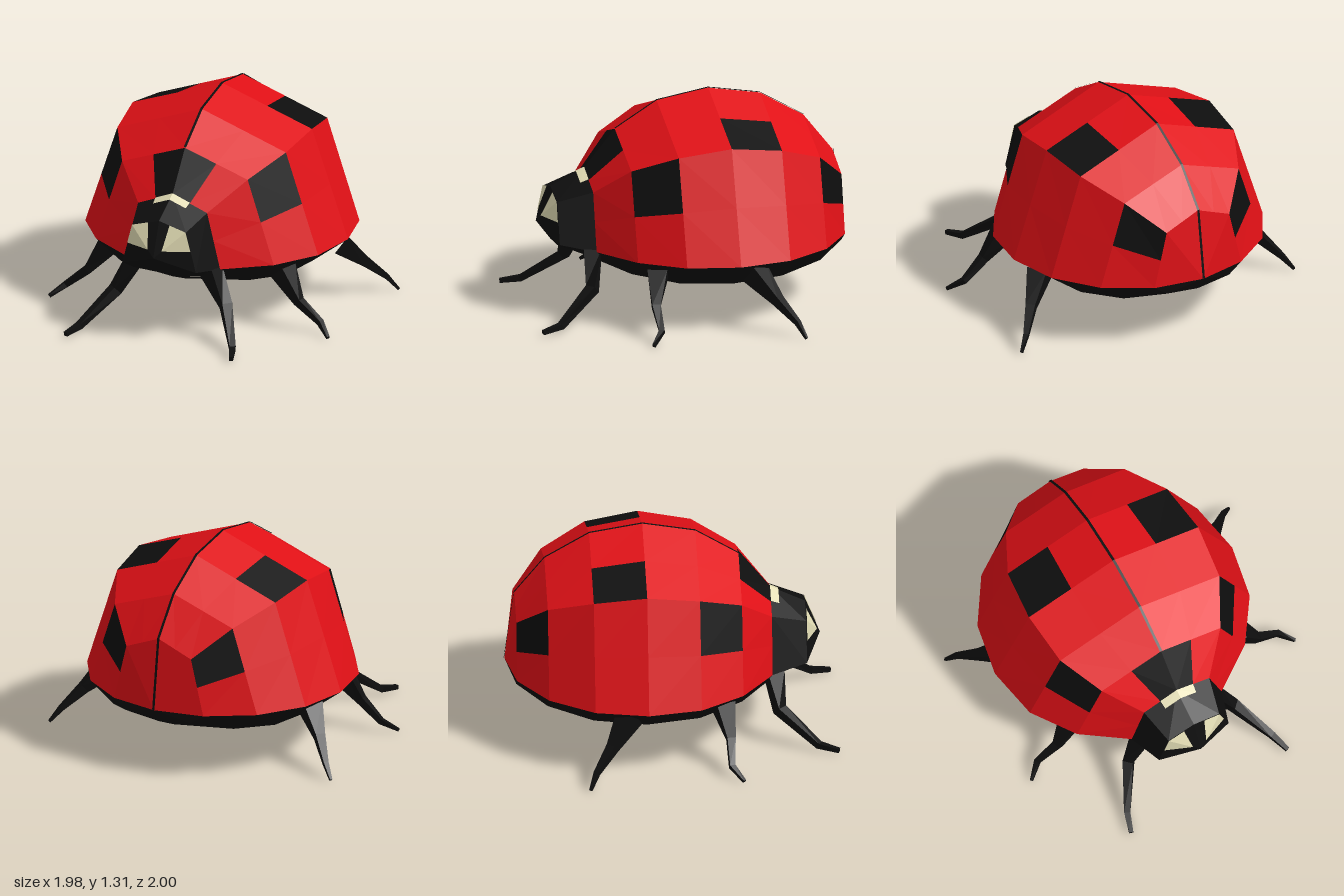
import * as THREE from 'three';

const RED = 0xe01016, BLACK = 0x0e0e0e, CREAM = 0xe2dcb4;
const V = (x, y, z) => new THREE.Vector3(x, y, z);
const CENTRE = V(0, 0.6, -0.1);

// Body stations, front to back: z, ridge y, shoulder x, shoulder y, rim x, belly y
const STATIONS = [
  [0.60, 0.87, 0.225, 0.78, 0.31, 0.34],
  [0.41, 1.10, 0.41, 0.955, 0.58, 0.26],
  [0.15, 1.26, 0.55, 1.06, 0.76, 0.205],
  [-0.17, 1.315, 0.585, 1.105, 0.82, 0.185],
  [-0.49, 1.26, 0.55, 1.06, 0.76, 0.205],
  [-0.76, 1.10, 0.41, 0.955, 0.58, 0.26],
  [-0.94, 0.87, 0.225, 0.78, 0.31, 0.34],
  [-1.00, 0.43, 0, 0.43, 0, 0.43],
];
const RIM = 0.43;
// Spots cover whole panels: "station,strip"
const SPOTS = ['0,0', '1,2', '3,1', '5,2'];

function makeMesh(name, points, color, doubleSide = false) {
  const geometry = new THREE.BufferGeometry().setFromPoints(points);
  geometry.computeVertexNormals();
  const material = new THREE.MeshStandardMaterial({ color, flatShading: true });
  if (doubleSide) material.side = THREE.DoubleSide;
  const mesh = new THREE.Mesh(geometry, material);
  mesh.name = name;
  return mesh;
}

// Adds a triangle facing away from the body centre
function addTri(out, a, b, c) {
  const n = b.clone().sub(a).cross(c.clone().sub(a));
  if (n.length() < 1e-7) return;
  const mid = a.clone().add(b).add(c).divideScalar(3).sub(CENTRE);
  out.push(...(n.dot(mid) > 0 ? [a, b, c] : [a, c, b]));
}
function addQuad(out, a, b, c, d) {
  addTri(out, a, b, c);
  addTri(out, a, c, d);
}
function addLoft(out, p, q) {
  for (let j = 0; j < p.length - 1; j++) addQuad(out, p[j], p[j + 1], q[j + 1], q[j]);
}

// Half section of the wing case: ridge, middle, shoulder, middle, rim
function shellSection([z, ridge, sx, sy, rx], s) {
  const a = V(0, ridge, z), b = V(s * sx, sy, z), c = V(s * rx, RIM, z);
  return [a, a.clone().lerp(b, 0.5), b, b.clone().lerp(c, 0.5), c];
}
function bellySection([z, , , , rx, by], s) {
  return [V(s * rx, RIM, z), V(s * rx * 0.72, RIM - (RIM - by) * 0.7, z), V(0, by, z)];
}

function createBody() {
  const shell = [], spots = [], belly = [], head = [], eyes = [], band = [], seam = [];
  for (const s of [-1, 1]) {
    // Wing case, spots and belly
    for (let i = 0; i < STATIONS.length - 1; i++) {
      const p = shellSection(STATIONS[i], s), q = shellSection(STATIONS[i + 1], s);
      for (let j = 0; j < 4; j++) {
        const out = SPOTS.includes(i + ',' + j) ? spots : shell;
        addQuad(out, p[j], p[j + 1], q[j + 1], q[j]);
      }
      addLoft(belly, bellySection(STATIONS[i], s), bellySection(STATIONS[i + 1], s));
    }

    // Head: neck section, face section, pointed nose
    const neck = [V(0, 0.87, 0.6), V(s * 0.225, 0.78, 0.6), V(s * 0.31, RIM, 0.6),
      V(s * 0.22, 0.37, 0.6), V(0, 0.34, 0.6)];
    const face = [V(0, 0.77, 0.81), V(s * 0.175, 0.72, 0.81), V(s * 0.24, 0.47, 0.81),
      V(s * 0.17, 0.45, 0.81), V(0, 0.44, 0.81)];
    const nose = V(0, 0.56, 0.9);
    addLoft(head, neck, face);
    addLoft(head, face, face.map(() => nose));

    // Eyes lie on the facets beside the nose
    const lift = V(0, 0.002, 0.004);
    const eye = [face[2].clone().lerp(face[1], 0.52), face[1].clone(),
      face[1].clone().lerp(face[0], 0.6), face[1].clone().lerp(nose, 0.74)];
    eye.forEach((v) => v.add(lift));
    addQuad(eyes, eye[1], eye[2], eye[3], eye[0]);

    // Pale band at the back of the head
    const up = V(0, 0.005, 0);
    const bandEdge = (t) => {
      const a = neck[0].clone().lerp(face[0], t);
      const b = neck[1].clone().lerp(face[1], t);
      return [a.clone().add(up), a.lerp(b, 0.5).add(up)];
    };
    addLoft(band, bandEdge(0), bandEdge(0.24));
  }

  // Thin seam along the ridge between the wings
  for (let i = 1; i < STATIONS.length - 1; i++) {
    const at = ([z, y], x) => V(x, y + 0.004, z - (z < -0.9 ? 0.004 : 0));
    const p = STATIONS[i], q = STATIONS[i + 1], w = 0.008;
    addQuad(seam, at(p, -w), at(p, w), at(q, w), at(q, -w));
  }

  const body = new THREE.Group();
  body.name = 'body';
  body.add(
    makeMesh('wingCase', shell, RED),
    makeMesh('spots', spots, BLACK),
    makeMesh('belly', belly, BLACK),
    makeMesh('head', head, BLACK),
    makeMesh('eyes', eyes, CREAM, true),
    makeMesh('neckBand', band, CREAM, true),
    makeMesh('wingSeam', seam, BLACK, true),
  );
  body.position.x = -0.02;
  return body;
}

// Four-sided tapered leg through hip, knee, ankle and toe
function createLeg(name, joints, radii, side, shift) {
  const path = joints.map(([x, y, z]) => V(side * x + shift, y, z));
  const rings = path.map((p, i) => {
    const dir = path[Math.min(i + 1, 3)].clone().sub(path[Math.max(i - 1, 0)]).normalize();
    const u = dir.clone().cross(V(0, 1, 0)).normalize();
    const v = dir.clone().cross(u);
    return [0, 1, 2, 3].map((k) => {
      const a = Math.PI / 4 + (k * Math.PI) / 2;
      return p.clone().addScaledVector(u, Math.cos(a) * radii[i]).addScaledVector(v, Math.sin(a) * radii[i]);
    });
  });
  const out = [];
  for (let i = 0; i < 3; i++) {
    for (let k = 0; k < 4; k++) {
      const n = (k + 1) % 4, p = rings[i], q = rings[i + 1];
      out.push(p[k], p[n], q[n], p[k], q[n], q[k]);
    }
  }
  const t = rings[3];
  out.push(t[0], t[1], t[2], t[0], t[2], t[3]);
  return makeMesh(name, out, BLACK);
}

const LEGS = [
  { name: 'frontLeg', shift: -0.015, radii: [0.075, 0.045, 0.027, 0.018],
    joints: [[0.25, 0.42, 0.61], [0.36, 0.22, 0.64], [0.50, 0.045, 0.87], [0.54, 0.025, 0.99]] },
  { name: 'middleLeg', shift: 0, radii: [0.085, 0.036, 0.024, 0.013],
    joints: [[0.57, 0.36, 0.29], [0.69, 0.19, 0.33], [0.83, 0.075, 0.33], [0.91, 0.012, 0.40]] },
  { name: 'backLeg', shift: 0, radii: [0.09, 0.042, 0.022, 0.011],
    joints: [[0.69, 0.36, -0.28], [0.82, 0.215, -0.39], [0.92, 0.095, -0.49], [0.98, 0.01, -0.53]] },
];

export function createModel() {
  const model = new THREE.Group();
  model.name = 'ladybird';
  model.add(createBody());
  for (const { name, joints, radii, shift } of LEGS) {
    model.add(createLeg(name + 'Left', joints, radii, 1, shift));
    model.add(createLeg(name + 'Right', joints, radii, -1, shift));
  }
  return model;
}
